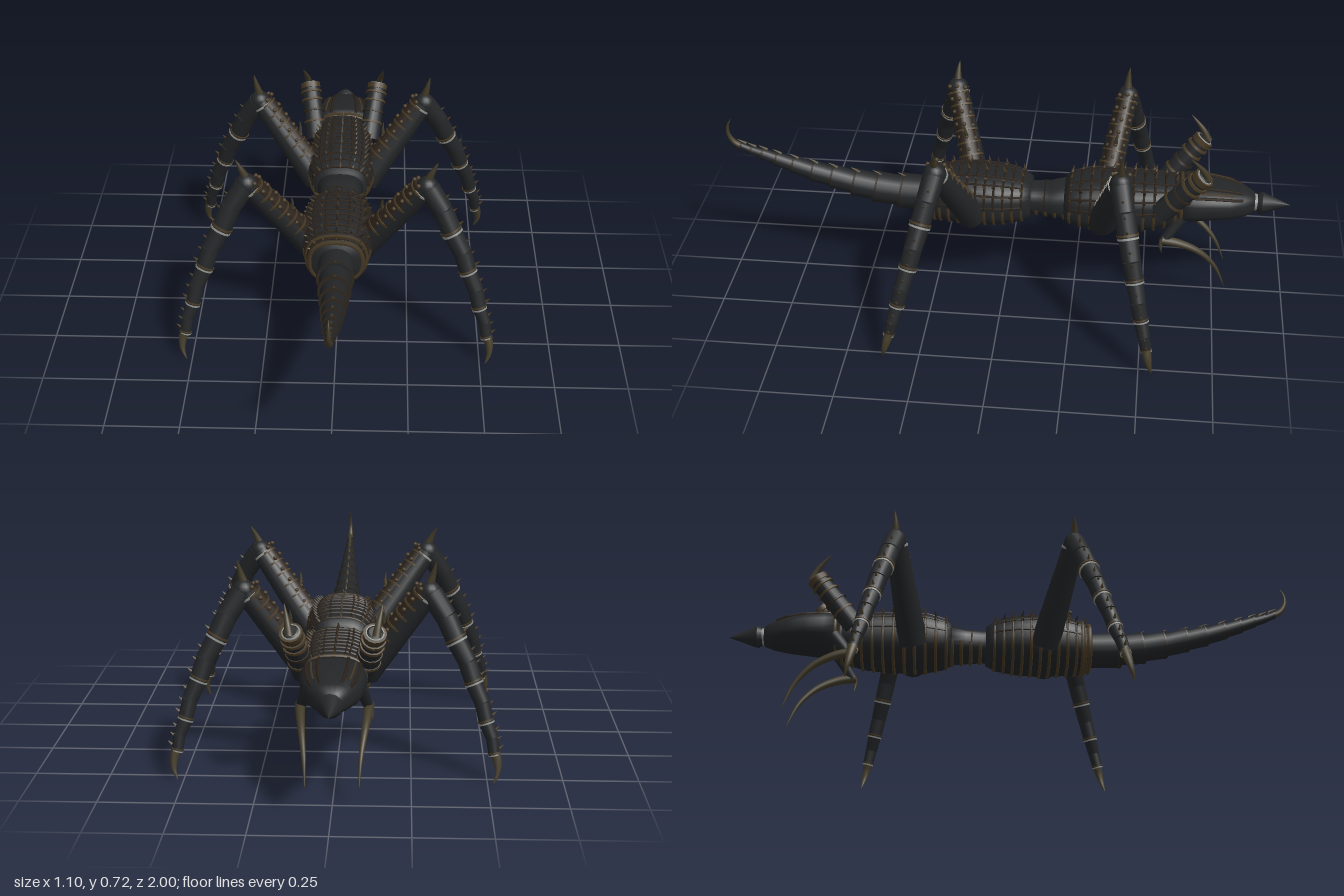
import * as THREE from 'three';

const mat = (name, color, side = THREE.FrontSide) => {
  const m = new THREE.MeshStandardMaterial({ color, side });
  m.name = name;
  return m;
};
const V = (x, y, z) => new THREE.Vector3(x, y, z);

export function createModel() {
  const root = new THREE.Group();
  root.name = 'armouredInsect';
  const shell = mat('charcoal shell', 0x232527);
  const brown = mat('dark brown plate', 0x2b221a);
  const bronze = mat('bronze trim', 0x463823);
  const claw = mat('olive horn', 0x423b29, THREE.DoubleSide);
  const steel = mat('pale steel', 0x8d8f8a);

  const add = (parent, name, geometry, material) => {
    const m = new THREE.Mesh(geometry, material);
    m.name = name;
    parent.add(m);
    return m;
  };
  const group = (name, parent = root) => {
    const g = new THREE.Group();
    g.name = name;
    parent.add(g);
    return g;
  };

  // Point on a squarish oval section [z, centreY, halfWidth, halfHeight]
  const sectionPoint = ([z, cy, w, h], a, out = 0) => {
    const c = Math.cos(a), s = Math.sin(a);
    return V(Math.sign(c) * Math.abs(c) ** 0.8 * (w + out), cy + Math.sign(s) * Math.abs(s) ** 0.8 * (h + out), z);
  };
  const at = (table, z) => {
    let i = 0;
    while (i < table.length - 2 && table[i + 1][0] < z) i++;
    const a = table[i], b = table[i + 1], t = (z - a[0]) / (b[0] - a[0]);
    return a.map((v, k) => v + (b[k] - v) * t);
  };
  // Closed skin over a list of sections
  const loft = (table, n = 28) => {
    const first = table[0], last = table[table.length - 1];
    const rows = [[first[0], first[1], 0, 0], ...table, [last[0], last[1], 0, 0]];
    const pos = [], idx = [];
    rows.forEach(r => {
      for (let j = 0; j < n; j++) pos.push(...sectionPoint(r, j / n * Math.PI * 2).toArray());
    });
    for (let i = 0; i < rows.length - 1; i++) for (let j = 0; j < n; j++) {
      const k = (j + 1) % n, a = i * n + j, b = i * n + k, c = a + n, d = b + n;
      idx.push(a, b, c, b, d, c);
    }
    const g = new THREE.BufferGeometry();
    g.setAttribute('position', new THREE.Float32BufferAttribute(pos, 3));
    g.setIndex(idx);
    g.computeVertexNormals();
    return g;
  };
  // Raised hoop around a section, whole or partial
  const hoop = (parent, table, z, r, material = bronze, a0 = 0, a1 = Math.PI * 2) => {
    const closed = a1 - a0 > 6.2, pts = [], n = 20;
    for (let i = 0; i < (closed ? n : n + 1); i++) pts.push(sectionPoint(at(table, z), a0 + (a1 - a0) * i / n));
    add(parent, 'hoop', new THREE.TubeGeometry(new THREE.CatmullRomCurve3(pts, closed), 32, r, 5, closed), material);
  };
  // Raised ridge running lengthwise
  const ridge = (parent, table, angle, z0, z1, r, material = bronze) => {
    const pts = [];
    for (let i = 0; i <= 10; i++) pts.push(sectionPoint(at(table, z0 + (z1 - z0) * i / 10), angle));
    add(parent, 'ridge', new THREE.TubeGeometry(new THREE.CatmullRomCurve3(pts), 20, r, 5), material);
  };
  // Straight tapered cylinder from a to b
  const rod = (parent, name, a, b, ra, rb, material, sides = 14) => {
    const d = b.clone().sub(a);
    const m = add(parent, name, new THREE.CylinderGeometry(rb, ra, d.length(), sides), material);
    m.position.copy(a).addScaledVector(d, 0.5);
    m.quaternion.setFromUnitVectors(V(0, 1, 0), d.normalize());
    return m;
  };
  // Curved horn tapering to a point
  const horn = (parent, name, pts, r, material = claw) => {
    const curve = new THREE.CatmullRomCurve3(pts), n = 18;
    const g = new THREE.TubeGeometry(curve, n, 1, 10), p = g.attributes.position, v = V(0, 0, 0);
    for (let i = 0; i < p.count; i++) {
      const u = Math.floor(i / 11) / n, c = curve.getPointAt(u);
      v.fromBufferAttribute(p, i).sub(c).multiplyScalar(r * (1 - u) ** 0.75 + 0.0004).add(c);
      p.setXYZ(i, v.x, v.y, v.z);
    }
    add(parent, name, g, material);
  };

  // Main body sections
  const thorax = [[-0.63, 0.385, 0.09, 0.06], [-0.6, 0.375, 0.102, 0.078], [-0.52, 0.365, 0.112, 0.092],
    [-0.42, 0.362, 0.12, 0.098], [-0.3, 0.362, 0.118, 0.096], [-0.24, 0.36, 0.105, 0.083], [-0.21, 0.36, 0.09, 0.068]];
  const waist = [[-0.23, 0.358, 0.088, 0.066], [-0.16, 0.352, 0.074, 0.054], [-0.1, 0.352, 0.064, 0.052], [-0.05, 0.355, 0.066, 0.056]];
  const abdomen = [[-0.09, 0.355, 0.085, 0.062], [-0.05, 0.357, 0.105, 0.082], [0.02, 0.358, 0.122, 0.093],
    [0.1, 0.358, 0.125, 0.098], [0.18, 0.358, 0.117, 0.095], [0.25, 0.352, 0.103, 0.086], [0.28, 0.35, 0.088, 0.074]];
  const head = [[-0.875, 0.38, 0.036, 0.034], [-0.84, 0.384, 0.066, 0.046], [-0.79, 0.388, 0.09, 0.055],
    [-0.73, 0.39, 0.102, 0.062], [-0.66, 0.388, 0.108, 0.068], [-0.61, 0.386, 0.1, 0.068]];
  const tau = Math.PI * 2;

  // Armoured thorax and abdomen: hoops, lengthwise ridges and rows of short spines
  [['thorax', thorax, -0.6, -0.23], ['abdomen', abdomen, -0.06, 0.26]].forEach(([name, table, z0, z1]) => {
    const g = group(name), bands = 10;
    add(g, name + 'Shell', loft(table), shell);
    for (let i = 0; i <= bands; i++) {
      const z = z0 + (z1 - z0) * i / bands;
      hoop(g, table, z, 0.0045, brown, 0, Math.PI);
      hoop(g, table, z, 0.006, bronze, Math.PI, tau);
      for (let k = 0; k < 7; k++) {
        const a = Math.PI * (0.14 + 0.12 * k), s = at(table, z), tall = k % 2 ? 0.022 : 0.01;
        const p = sectionPoint(s, a), q = sectionPoint(s, a, tall);
        q.z += name === 'thorax' ? -0.006 : 0.006;
        rod(g, 'backSpine', p, q, 0.0055, 0.0008, i % 2 ? brown : bronze, 5);
      }
    }
    for (const a of [0.02, 0.16, 0.3, 0.42, 0.58, 0.7, 0.84, 0.98]) ridge(g, table, a * Math.PI, z0, z1, 0.004, brown);
  });
  hoop(root, abdomen, 0.275, 0.009, bronze);
  hoop(root, abdomen, 0.25, 0.007, bronze);

  // Waist with belly ribs
  const waistGroup = group('waist');
  add(waistGroup, 'waistShell', loft(waist), shell);
  for (let i = 0; i < 5; i++) hoop(waistGroup, waist, -0.21 + i * 0.033, 0.007, bronze, Math.PI * 1.05, Math.PI * 1.95);
  hoop(waistGroup, waist, -0.14, 0.003, brown);

  // Head with brow ridges and a pointed snout
  const headGroup = group('head');
  add(headGroup, 'skull', loft(head), shell);
  for (const a of [0.22, 0.38, 0.62, 0.78]) ridge(headGroup, head, a * Math.PI, -0.83, -0.63, 0.006, brown);
  for (const a of [0.3, 0.7]) ridge(headGroup, head, a * Math.PI, -0.8, -0.66, 0.004);
  hoop(headGroup, head, -0.62, 0.007);
  rod(headGroup, 'snoutCollar', V(0, 0.38, -0.865), V(0, 0.38, -0.888), 0.03, 0.03, steel);
  rod(headGroup, 'snoutFlare', V(0, 0.38, -0.884), V(0, 0.379, -0.9), 0.032, 0.04, shell);
  rod(headGroup, 'snoutTip', V(0, 0.379, -0.9), V(0, 0.375, -1), 0.04, 0.001, shell);

  // Segmented tail: overlapping flared rings, each with a small dorsal spine
  const tail = group('tail');
  const tailRows = [[0.27, 0.345, 0.068], [0.38, 0.348, 0.06], [0.47, 0.358, 0.053], [0.55, 0.372, 0.046], [0.63, 0.392, 0.04],
    [0.7, 0.41, 0.035], [0.77, 0.432, 0.029], [0.83, 0.452, 0.024], [0.88, 0.47, 0.019], [0.92, 0.483, 0.015], [0.955, 0.498, 0.012]];
  for (let i = 0; i < tailRows.length - 1; i++) {
    const [z, y, r] = tailRows[i], [z2, y2, r2] = tailRows[i + 1];
    rod(tail, 'tailSegment', V(0, y, z), V(0, y2, z2), r * 0.9, r2 * 1.06, shell, 18);
    rod(tail, 'tailRing', V(0, y2, z2 - 0.003), V(0, y2 + 0.001, z2 + 0.003), r2 * 1.1, r2 * 1.08, brown, 18);
    horn(tail, 'tailSpine', [V(0, y2 + r2 * 0.9, z2 - 0.02), V(0, y2 + r2 + 0.006, z2 - 0.005), V(0, y2 + r2 + 0.014, z2 + 0.012)], 0.006);
  }
  horn(tail, 'stinger', [V(0, 0.496, 0.95), V(0, 0.512, 0.978), V(0, 0.545, 0.997), V(0, 0.58, 0.996), V(0, 0.607, 0.982)], 0.012);

  for (const s of [1, -1]) {
    const side = s > 0 ? 'left' : 'right';
    const P = (x, y, z) => V(s * x, y, z);

    // Horned eye stalk
    const stalk = group(side + 'EyeStalk');
    const a = P(0.1, 0.38, -0.55), b = P(0.13, 0.545, -0.685);
    rod(stalk, 'stalk', a, b, 0.04, 0.033, shell);
    [0.3, 0.5, 0.7, 0.85].forEach(t =>
      rod(stalk, 'stalkBand', a.clone().lerp(b, t), a.clone().lerp(b, t + 0.04), 0.042, 0.04, t === 0.5 ? brown : bronze));
    rod(stalk, 'stalkRim', a.clone().lerp(b, 0.94), a.clone().lerp(b, 1.03), 0.038, 0.038, bronze);
    rod(stalk, 'eyeRing', a.clone().lerp(b, 1.03), a.clone().lerp(b, 1.045), 0.031, 0.03, steel);
    rod(stalk, 'eye', a.clone().lerp(b, 1.045), a.clone().lerp(b, 1.06), 0.026, 0.02, shell);
    horn(stalk, 'eyeHorn', [P(0.135, 0.54, -0.705), P(0.142, 0.58, -0.685), P(0.155, 0.632, -0.64)], 0.014);

    // Fang on a short jaw arm
    const jaw = group(side + 'Jaw');
    rod(jaw, 'jawArm', P(0.085, 0.35, -0.62), P(0.11, 0.27, -0.565), 0.022, 0.016, shell, 10);
    horn(jaw, 'fang', [P(0.112, 0.274, -0.557), P(0.108, 0.26, -0.62), P(0.1, 0.225, -0.69), P(0.09, 0.16, -0.75), P(0.085, 0.072, -0.79)], 0.017);
    horn(jaw, 'jawSpur', [P(0.115, 0.28, -0.56), P(0.122, 0.255, -0.555), P(0.122, 0.225, -0.56)], 0.009);

    // Two legs per side: [name, hip z, knee z, foot z]
    [['Fore', -0.345, -0.41, -0.545], ['Hind', 0.115, 0.21, 0.375]].forEach(([name, hz, kz, fz]) => {
      const leg = group(side + name + 'Leg');
      const hip = P(0.09, 0.32, hz), knee = P(0.305, 0.615, kz);
      const up = t => hip.clone().lerp(knee, t);
      rod(leg, 'thigh', hip, knee, 0.052, 0.036, shell);
      const out = P(-0.03, 0.023, 0);
      rod(leg, 'thighPlate', up(0.25).addScaledVector(out, 0.55), up(0.97).addScaledVector(out, 0.4), 0.037, 0.03, brown);
      for (let i = 0; i < 6; i++) {
        const t = 0.3 + i * 0.125, r = 0.05 - t * 0.012, c = up(t);
        rod(leg, 'thighBand', c.clone().addScaledVector(out, 0.3), up(t + 0.018).addScaledVector(out, 0.3), r, r, bronze);
        for (const d of [-1, 0, 1]) {
          const stud = add(leg, 'stud', new THREE.SphereGeometry(0.008, 8, 6), bronze);
          stud.position.copy(up(t + 0.06)).addScaledVector(out, d ? 0.9 : 1.35).add(V(0, 0, d * 0.028));
        }
      }
      horn(leg, 'thighSpine', [up(0.48).addScaledVector(out, 1.1), up(0.52).addScaledVector(out, 1.6), up(0.6).addScaledVector(out, 2.1)], 0.009);
      const ball = add(leg, 'kneeJoint', new THREE.SphereGeometry(0.037, 16, 12), shell);
      ball.position.copy(knee);
      rod(leg, 'kneeCollar', up(0.93), up(0.95), 0.04, 0.04, steel);
      const kx = name === 'Fore' ? 0.325 : 0.34, ky = name === 'Fore' ? 0.718 : 0.705;
      horn(leg, 'kneeSpike', [P(0.298, 0.62, kz), P((0.302 + kx) / 2, 0.67, kz), P(kx, ky, kz - 0.004)], 0.018);

      // Shin of five segments with pale joints: [x, y, radius]
      const shin = [[0.31, 0.61, 0.038], [0.395, 0.457, 0.034], [0.453, 0.323, 0.029], [0.495, 0.197, 0.024], [0.521, 0.095, 0.018]];
      const zAt = y => kz + (fz - kz) * (0.61 - y) / 0.61;
      const S = ([x, y]) => P(x, y, zAt(y));
      for (let i = 0; i < 4; i++) {
        const p = S(shin[i]), q = S(shin[i + 1]), r = shin[i][2], r2 = shin[i + 1][2];
        const mid = p.clone().lerp(q, 0.5).add(P(0.006, 0.003, 0));
        rod(leg, 'shinSegment', p, mid, r, (r + r2) / 2, shell);
        rod(leg, 'shinSegment', mid, q, (r + r2) / 2, r2 * 1.04, shell);
        rod(leg, 'shinJoint', p.clone().lerp(q, 0.975), q.clone().lerp(p, -0.015), r2 * 1.1, r2 * 1.1, steel);
        rod(leg, 'shinBand', p.clone().lerp(q, 0.91), p.clone().lerp(q, 0.95), r2 * 1.14, r2 * 1.14, bronze);
        for (const t of [0.3, 0.6, 0.88]) {
          const base = p.clone().lerp(q, t).add(P(r * 0.85, r * 0.45, 0));
          rod(leg, 'shinBristle', base, base.clone().add(P(0.013, 0.012, 0)), 0.006, 0.001, bronze, 5);
        }
      }
      horn(leg, 'footClaw', [S([0.523, 0.105]), S([0.532, 0.07]), S([0.532, 0.035]), P(0.519, 0.001, fz)], 0.018);
    });
  }
  return root;
}
